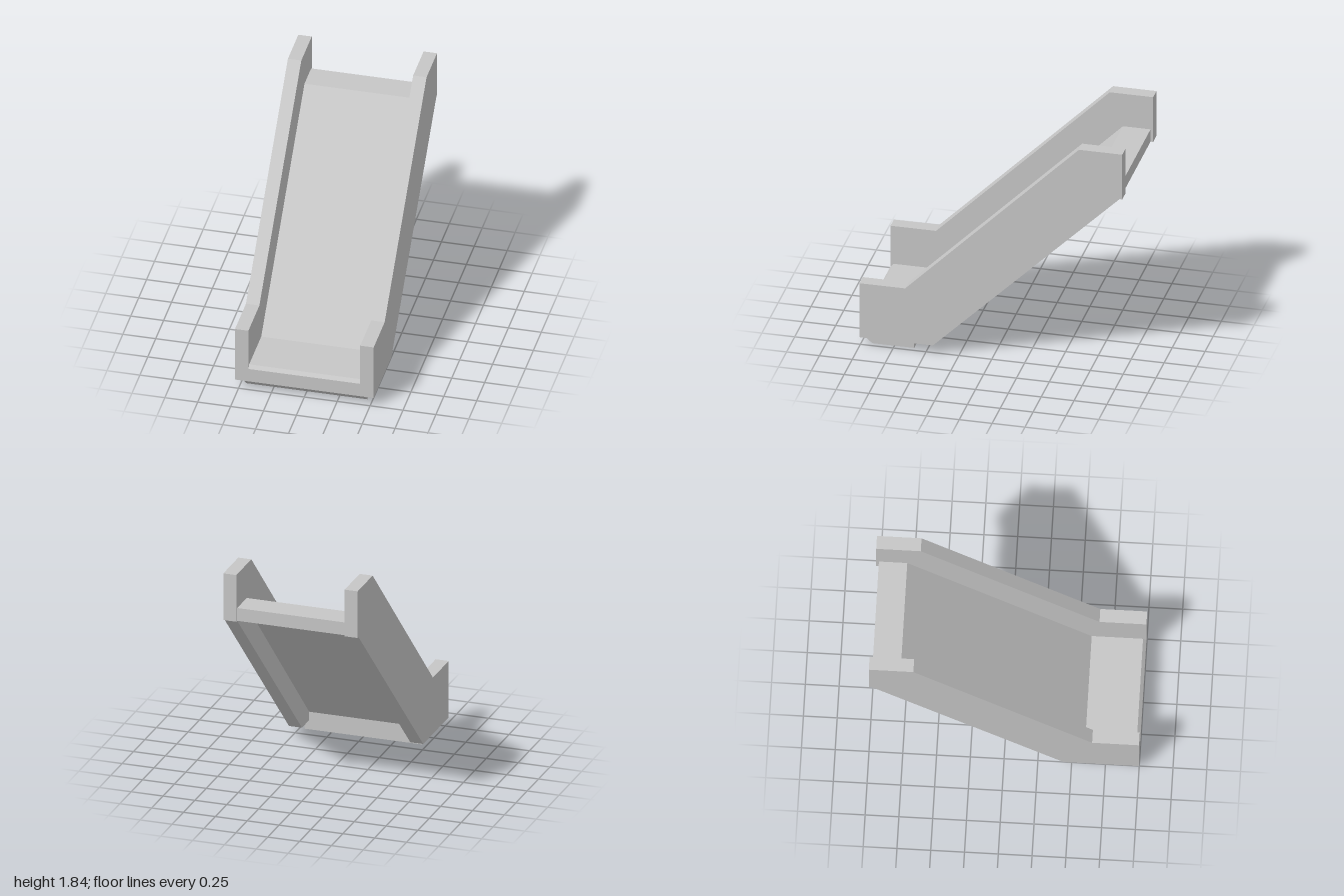
import * as THREE from 'three';

const grey = new THREE.MeshStandardMaterial({ color: 0xc6c6c6 });
grey.name = 'light grey plastic';

// Extrude a side profile of [z, y] points across x, from x0 to x1
function slab(name, profile, x0, x1) {
  const shape = new THREE.Shape(profile.map(([z, y]) => new THREE.Vector2(-z, y)));
  const geometry = new THREE.ExtrudeGeometry(shape, { depth: x1 - x0, bevelEnabled: false });
  geometry.rotateY(Math.PI / 2); // shape x becomes -z, depth becomes x
  geometry.translate(x0, 0, 0);
  const mesh = new THREE.Mesh(geometry, grey);
  mesh.name = name;
  return mesh;
}

export function createModel() {
  const group = new THREE.Group();
  group.name = 'slide';
  const inner = 0.425, outer = 0.527, baseHalf = 0.46;

  // Side rails: level foot, 45 degree run, level top
  const rail = [[1, 0.073], [1, 0.522], [0.653, 0.522], [-0.67, 1.84], [-1, 1.84],
    [-1, 1.468], [-0.98, 1.468], [0.442, 0.073]];
  group.add(slab('leftRail', rail, inner, outer));
  group.add(slab('rightRail', rail, -outer, -inner));

  // Chute: bevelled front lip, landing, thin sloping bed and top ledge
  const chute = [[1, 0.073], [1, 0.183], [0.975, 0.208], [0.595, 0.208], [-0.77, 1.57],
    [-0.98, 1.57], [-0.98, 1.468], [-0.73, 1.468], [0.6, 0.14], [0.6, 0.073]];
  group.add(slab('chute', chute, -inner, inner));

  // Foot block under the landing, sloped at the front
  const foot = [[1, 0.073], [0.6, 0.073], [0.6, 0], [0.92, 0]];
  group.add(slab('foot', foot, -baseHalf, baseHalf));

  return group;
}
